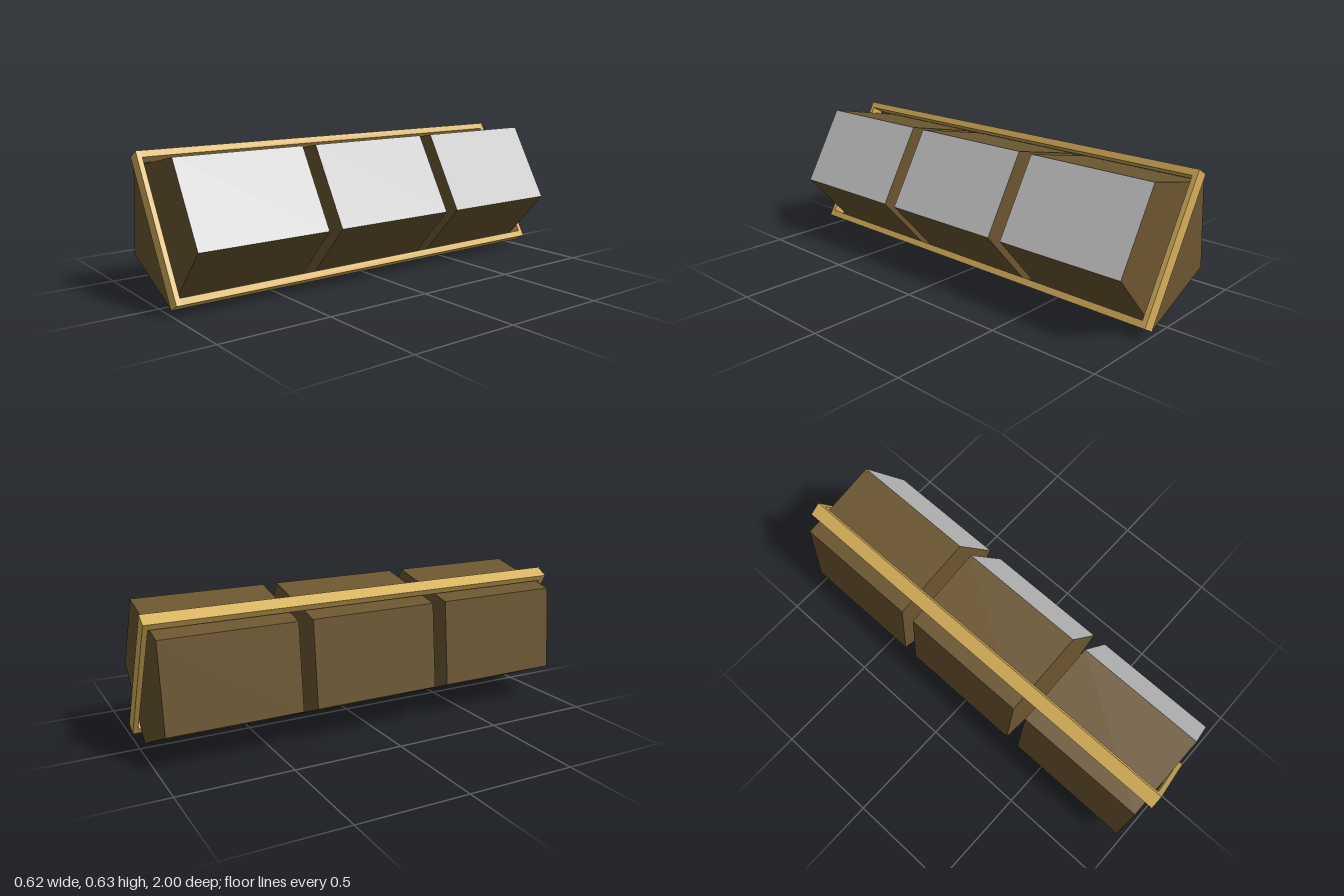
import * as THREE from 'three';
import { mergeGeometries } from 'three/addons/utils/BufferGeometryUtils.js';

const wood = new THREE.MeshStandardMaterial({ color: 0xd6b05a, flatShading: true });
const brown = new THREE.MeshStandardMaterial({ color: 0x6b5630, flatShading: true });
const grey = new THREE.MeshStandardMaterial({ color: 0xcccccc, flatShading: true });

// Pentagon profile, counter-clockwise; the edge starting at PANE carries the grey screen
const PROFILE = [[-0.31, 0.16], [0.047, 0], [0.31, 0.292], [0.114, 0.631], [-0.27, 0.549]];
const PANE = 2;
const DEPTH = 0.6;

function mesh(name, geometry, material) {
  const m = new THREE.Mesh(geometry, material);
  m.name = name;
  return m;
}

// Flat side wall of the prism along profile edge i
function wall(i) {
  const [ax, ay] = PROFILE[i];
  const [bx, by] = PROFILE[(i + 1) % PROFILE.length];
  const h = DEPTH / 2;
  const g = new THREE.BufferGeometry();
  g.setAttribute('position', new THREE.Float32BufferAttribute(
    [ax, ay, -h, bx, by, -h, bx, by, h, ax, ay, h], 3));
  g.setAttribute('uv', new THREE.Float32BufferAttribute([0, 0, 1, 0, 1, 1, 0, 1], 2));
  g.setIndex([0, 1, 2, 0, 2, 3]);
  g.computeVertexNormals();
  return g;
}

function createPrism(name) {
  const group = new THREE.Group();
  group.name = name;
  // End caps
  const shape = new THREE.Shape(PROFILE.map(([x, y]) => new THREE.Vector2(x, y)));
  const front = new THREE.ShapeGeometry(shape).translate(0, 0, DEPTH / 2);
  const mirrored = new THREE.Shape(PROFILE.map(([x, y]) => new THREE.Vector2(-x, y)));
  const back = new THREE.ShapeGeometry(mirrored).rotateY(Math.PI).translate(0, 0, -DEPTH / 2);
  // Brown body, closed by the grey pane
  const walls = PROFILE.map((_, i) => i).filter((i) => i !== PANE).map(wall);
  group.add(mesh('body', mergeGeometries([front, back, ...walls]), brown));
  group.add(mesh('screenPane', wall(PANE), grey));
  return group;
}

// Slanted rectangular frame around the prisms
function createFrame() {
  const frame = new THREE.Group();
  frame.name = 'frame';
  const width = 0.063, height = 0.664, rail = 0.03, plate = 0.022;
  for (const s of [1, -1]) {
    const end = mesh(s > 0 ? 'frontBar' : 'backBar', new THREE.BoxGeometry(width, height, plate), wood);
    end.position.z = s * (1 - plate / 2);
    const beam = mesh(s > 0 ? 'topRail' : 'bottomRail',
      new THREE.BoxGeometry(width, rail, 2 - 2 * plate), wood);
    beam.position.y = s * (height - rail) / 2;
    frame.add(end, beam);
  }
  frame.position.set(-0.0215, 0.327, 0);
  frame.rotation.z = Math.PI / 6;
  return frame;
}

export function createModel() {
  const model = new THREE.Group();
  model.name = 'prismRack';
  ['backPrism', 'middlePrism', 'frontPrism'].forEach((name, i) => {
    const prism = createPrism(name);
    prism.position.z = (i - 1) * 0.667;
    model.add(prism);
  });
  model.add(createFrame());
  return model;
}
